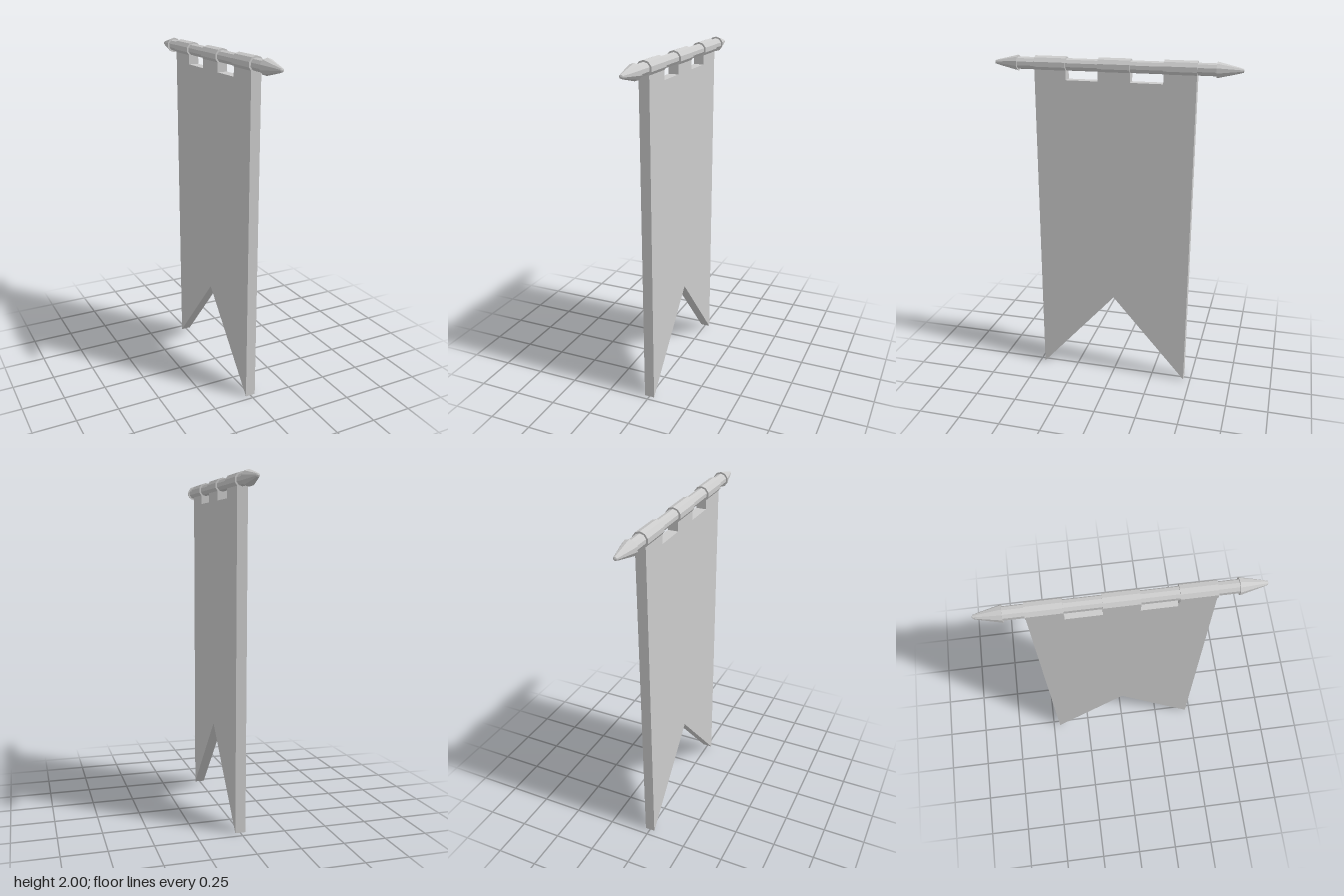
import * as THREE from 'three';

const ROD_Y = 1.955;
const SIDES = 10;

export function createModel() {
  const group = new THREE.Group();
  const material = new THREE.MeshStandardMaterial({ color: 0xcccccc, flatShading: true });

  const add = (name, geometry) => {
    const mesh = new THREE.Mesh(geometry, material);
    mesh.name = name;
    group.add(mesh);
    return mesh;
  };

  // Faceted cylinder lying along z at rod height
  const bar = (name, radius, z0, z1) => {
    const geometry = new THREE.CylinderGeometry(radius, radius, z1 - z0, SIDES);
    geometry.rotateX(Math.PI / 2);
    add(name, geometry).position.set(0, ROD_Y, (z0 + z1) / 2);
  };

  // Horizontal rod
  bar('rod', 0.035, -0.6, 0.6);

  // Fabric sleeves wrapped around the rod
  const sleeves = [[-0.468, -0.283], [-0.094, 0.092], [0.281, 0.468]];
  sleeves.forEach(([a, b]) => bar('sleeve', 0.045, a, b));

  // Pointed finials with blunt tips at both ends
  const profile = [[0, 0.573], [0.045, 0.573], [0.016, 0.695], [0.01, 0.715], [0, 0.719]]
    .map(([r, y]) => new THREE.Vector2(r, y));
  for (const side of [1, -1]) {
    const geometry = new THREE.LatheGeometry(profile, SIDES);
    geometry.rotateX(side * Math.PI / 2);
    add('finial', geometry).position.y = ROD_Y;
  }

  // Swallow-tailed cloth with notches between the sleeves, drawn in (z, y)
  const outline = [[-0.457, 0.005], [0, 0.53], [0.47, 0.005], [0.468, ROD_Y]];
  for (let i = sleeves.length - 1; i > 0; i--) {
    const right = sleeves[i][0], left = sleeves[i - 1][1];
    outline.push([right, ROD_Y], [right, 1.87], [left, 1.87], [left, ROD_Y]);
  }
  outline.push([-0.468, ROD_Y]);
  const shape = new THREE.Shape(outline.map(([z, y]) => new THREE.Vector2(z, y)));
  const cloth = new THREE.ExtrudeGeometry(shape, { depth: 0.06, bevelEnabled: false });
  cloth.translate(0, 0, -0.03);
  cloth.rotateY(-Math.PI / 2);
  add('cloth', cloth);

  return group;
}
